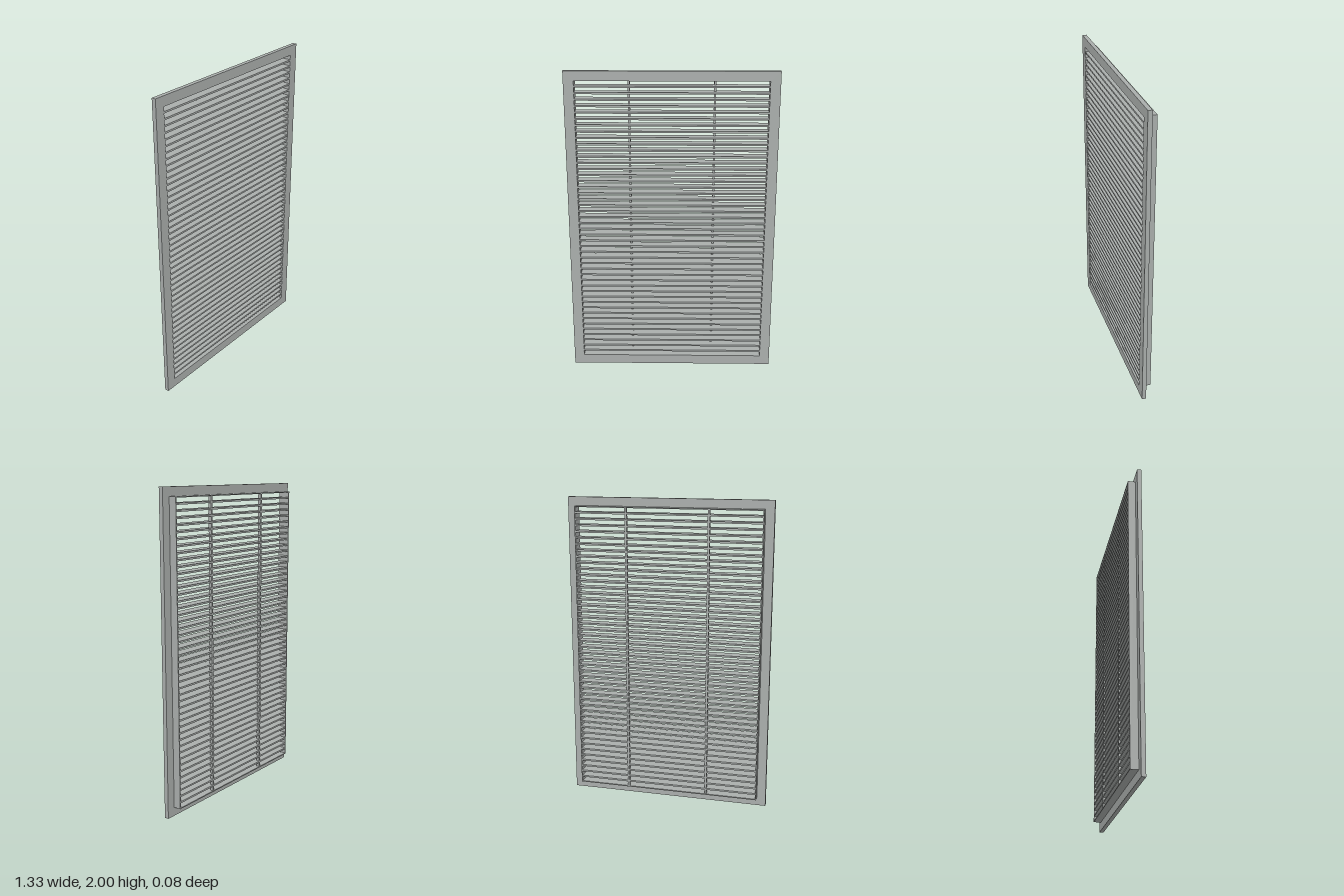
import * as THREE from 'three';

const OPEN_X = 0.601, OPEN_Y = 0.938; // half size of the opening
const BACK = -0.0375, STEP = 0.0105, FRONT = 0.0375;

// rectangular ring with the common opening, extruded from z0 to z1
function ring(halfX, halfY, z0, z1) {
  const rect = (path, x, y) => path.moveTo(-x, -y).lineTo(x, -y).lineTo(x, y).lineTo(-x, y).closePath();
  const shape = rect(new THREE.Shape(), halfX, halfY);
  shape.holes.push(rect(new THREE.Path(), OPEN_X, OPEN_Y));
  return new THREE.ExtrudeGeometry(shape, { depth: z1 - z0, bevelEnabled: false }).translate(0, 1, z0);
}

export function createModel() {
  const model = new THREE.Group();
  model.name = 'ventGrille';
  const metal = new THREE.MeshStandardMaterial({ color: 0xaaaeac });
  metal.name = 'grey metal';

  const add = (name, geometry, x = 0, y = 0, z = 0, parent = model) => {
    const mesh = new THREE.Mesh(geometry, metal);
    mesh.name = name;
    mesh.position.set(x, y, z);
    parent.add(mesh);
  };

  // front flange and the thin collar behind it
  add('flange', ring(0.665, 1, STEP, FRONT));
  add('collar', ring(0.608, 0.945, BACK, STEP));

  // horizontal slats, evenly spaced with a gap at each end
  const slats = new THREE.Group();
  slats.name = 'slats';
  model.add(slats);
  const count = 46, thick = 0.011;
  const pitch = (2 * OPEN_Y + thick) / (count + 1);
  const slat = new THREE.BoxGeometry(2 * OPEN_X, thick, FRONT - BACK - 0.002);
  for (let i = 0; i < count; i++) {
    add('slat', slat, 0, 1 + (i - (count - 1) / 2) * pitch, 0, slats);
  }

  // two upright bars tying the slats together at the back
  const bar = new THREE.BoxGeometry(0.013, 2 * OPEN_Y, 0.02);
  for (const side of [-1, 1]) add('supportBar', bar, side * 0.267, 1, BACK + 0.012);

  return model;
}
